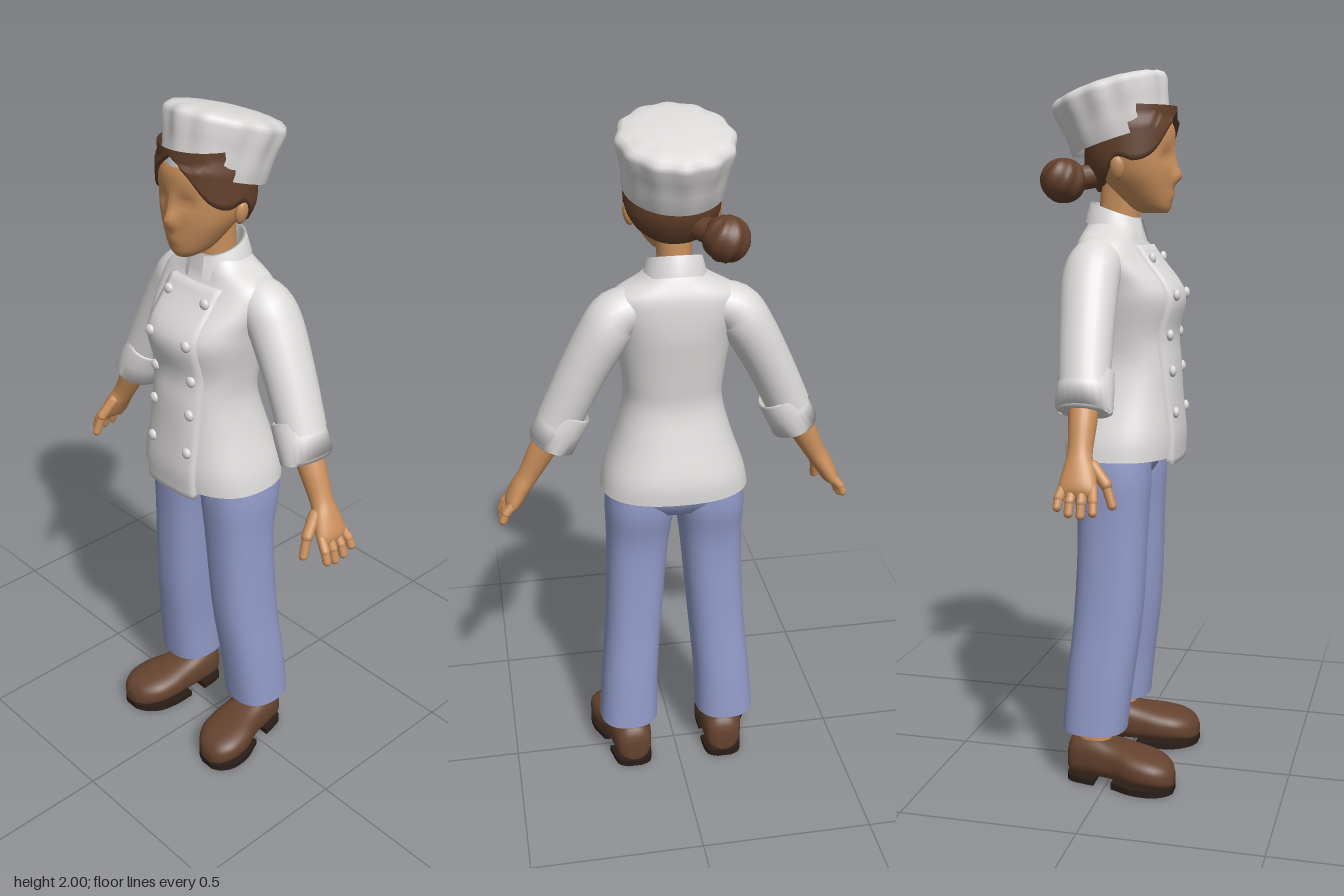
import * as THREE from 'three';
import { mergeVertices, mergeGeometries } from 'three/addons/utils/BufferGeometryUtils.js';

const mat = (name, color, side = THREE.FrontSide) => {
  const m = new THREE.MeshStandardMaterial({ color, side });
  m.name = name;
  return m;
};

// Surface from a point rule: u runs around, v runs along
function grid(nu, nv, point, closed = true) {
  const pos = [], idx = [];
  const w = closed ? nu : nu + 1;
  for (let j = 0; j <= nv; j++) for (let i = 0; i < w; i++) pos.push(...point(i, j));
  for (let j = 0; j < nv; j++) for (let i = 0; i < nu; i++) {
    const a = j * w + i, b = j * w + (i + 1) % w, c = a + w, d = b + w;
    idx.push(a, c, b, b, c, d);
  }
  const g = new THREE.BufferGeometry();
  g.setAttribute('position', new THREE.Float32BufferAttribute(pos, 3));
  g.setIndex(idx);
  const merged = mergeVertices(g, 1e-5);
  merged.computeVertexNormals();
  return merged;
}

// Smoothly subdivide rows of numbers
function refine(rows, n = 4) {
  const out = [], at = i => rows[Math.max(0, Math.min(rows.length - 1, i))];
  for (let i = 0; i < rows.length - 1; i++) for (let k = 0; k < n; k++) {
    const t = k / n;
    out.push(rows[i].map((b, c) => {
      const a = at(i - 1)[c], d = at(i + 1)[c], e = at(i + 2)[c];
      return b + 0.5 * t * (d - a + t * (2 * a - 5 * b + 4 * d - e + t * (3 * (b - d) + e - a)));
    }));
  }
  return [...out, rows[rows.length - 1]];
}

const sgnPow = (v, p) => Math.sign(v) * Math.abs(v) ** p;

// Upright loft; rows are [y, centreX, halfWidth, zFront, zBack]
function body(rows, { n = 2.2, seg = 36, cap = false, warp = null } = {}) {
  const r = refine(rows);
  if (cap) {
    const point = ([y, cx, , f, b]) => [y, cx, 0, (f + b) / 2, (f + b) / 2];
    r.unshift(point(r[0]));
    r.push(point(r[r.length - 1]));
  }
  return grid(seg, r.length - 1, (i, j) => {
    const [y, cx, rx, f, b] = r[j], a = i / seg * Math.PI * 2;
    const p = [cx + rx * sgnPow(Math.cos(a), 2 / n), y, (f + b) / 2 + (f - b) / 2 * sgnPow(Math.sin(a), 2 / n)];
    return warp ? warp(p) : p;
  });
}

// Loft along a path in the xy plane; rows are [x, y, z, halfThickness, halfDepth]
function limb(rows, smooth = 4, seg = 24) {
  const r = refine(rows, smooth);
  return grid(seg, r.length - 1, (i, j) => {
    const p = r[Math.max(0, j - 1)], q = r[Math.min(r.length - 1, j + 1)];
    const t = new THREE.Vector2(q[0] - p[0], q[1] - p[1]).normalize();
    const a = i / seg * Math.PI * 2, [x, y, z, h, d] = r[j];
    return [x + t.y * h * Math.cos(a), y - t.x * h * Math.cos(a), z + d * Math.sin(a)];
  });
}

// Rounded finger between two points
function finger(a, b, r) {
  const p = new THREE.Vector3(...a), q = new THREE.Vector3(...b), d = q.clone().sub(p);
  const g = new THREE.CapsuleGeometry(r, d.length(), 4, 10);
  g.applyQuaternion(new THREE.Quaternion().setFromUnitVectors(new THREE.Vector3(0, 1, 0), d.normalize()));
  return g.translate(...p.add(q).multiplyScalar(0.5).toArray());
}

function mirror(geo) {
  const g = geo.index ? geo.toNonIndexed() : geo.clone();
  for (const at of [g.attributes.position, g.attributes.normal]) for (let i = 0; i < at.count; i += 3) {
    const v = [0, 1, 2].map(k => new THREE.Vector3().fromBufferAttribute(at, i + k));
    [0, 2, 1].forEach((s, k) => at.setXYZ(i + k, -v[s].x, v[s].y, v[s].z));
  }
  return g;
}

export function createModel() {
  const cloth = mat('white cloth', 0xdcdad9, THREE.DoubleSide);
  const denim = mat('blue trousers', 0x929bc9, THREE.DoubleSide);
  const skin = mat('skin', 0xc98f5c);
  const hairMat = mat('brown hair', 0x63402b, THREE.DoubleSide);
  const leather = mat('brown leather', 0x65432f);
  const rubber = mat('dark sole', 0x2a1d18);

  const model = new THREE.Group();
  model.name = 'cook';
  const add = (name, geo, material) => {
    const m = new THREE.Mesh(geo, material);
    m.name = name;
    model.add(m);
    return m;
  };
  const pair = (name, geo, material) => {
    add('left' + name, geo, material);
    add('right' + name, mirror(geo), material);
  };

  // Jacket body
  const torso = [
    [0.94, 0, 0.212, 0.165, -0.155], [1.0, 0, 0.2, 0.168, -0.153], [1.1, 0, 0.165, 0.16, -0.125],
    [1.2, 0, 0.14, 0.155, -0.1], [1.28, 0, 0.143, 0.148, -0.105], [1.37, 0, 0.158, 0.166, -0.115],
    [1.42, 0, 0.165, 0.15, -0.12], [1.48, 0, 0.178, 0.1, -0.12], [1.53, 0, 0.17, 0.065, -0.115],
    [1.57, 0, 0.1, 0.055, -0.1], [1.6, 0, 0.07, 0.05, -0.085]];
  add('jacket', body(torso, { n: 2.4, seg: 48 }), cloth);

  const fine = refine(torso);
  const frontZ = (x, y) => {
    let k = fine.findIndex(r => r[0] > y);
    k = k < 0 ? fine.length - 1 : Math.max(1, k);
    const p = fine[k - 1], q = fine[k], t = Math.max(0, (y - p[0]) / (q[0] - p[0]));
    const [, , rx, f, b] = p.map((v, i) => v + (q[i] - v) * t);
    return (f + b) / 2 + (f - b) / 2 * (1 - Math.abs(x / rx) ** 2.4) ** (1 / 2.4);
  };

  // Raised double-breasted panel following the jacket front
  const nx = 14, ny = 40;
  add('frontPanel', grid(nx, ny, (i, j) => {
    const u = (Math.min(nx - 1, Math.max(1, i)) - 1) / (nx - 2), v = (Math.min(ny - 1, Math.max(1, j)) - 1) / (ny - 2);
    const x = 0.095 - 0.19 * u, y = 0.922 + 0.603 * v;
    const rim = i === 0 || j === 0 || i === nx || j === ny;
    return [x, y, frontZ(x, y) + (rim ? -0.005 : 0.012)];
  }, false), cloth);

  // Two columns of buttons
  for (const y of [1.49, 1.39, 1.28, 1.18, 1.065]) for (const x of [-0.068, 0.073]) {
    const b = add('button', new THREE.SphereGeometry(0.016, 14, 10), cloth);
    b.scale.z = 0.65;
    b.position.set(x, y, frontZ(x, y) + 0.014);
  }

  // Standing collar, open at the throat
  const collar = [[0.09, 1.555], [0.074, 1.615], [0.064, 1.615], [0.07, 1.55]];
  add('collar', grid(32, 3, (i, j) => {
    const a = Math.PI / 2 + 0.3 + (Math.PI * 2 - 0.6) * i / 32, [r, y] = collar[j];
    const z = -0.015 + r * Math.sin(a);
    return [r * Math.cos(a), y - 0.35 * z, z];
  }, false), cloth);

  // Sleeves with turned-back cuffs
  pair('Sleeve', limb([
    [0.09, 1.5, -0.035, 0.055, 0.06], [0.16, 1.475, -0.037, 0.068, 0.075], [0.2, 1.42, -0.04, 0.07, 0.079],
    [0.265, 1.3, -0.032, 0.065, 0.074], [0.325, 1.17, -0.022, 0.062, 0.07]]), cloth);
  pair('Cuff', limb([
    [0.295, 1.205, -0.022, 0.06, 0.068], [0.298, 1.2, -0.022, 0.066, 0.075], [0.322, 1.155, -0.019, 0.067, 0.077],
    [0.348, 1.105, -0.017, 0.068, 0.078], [0.351, 1.099, -0.017, 0.062, 0.072],
    [0.345, 1.112, -0.017, 0.055, 0.064], [0.325, 1.15, -0.019, 0.045, 0.05]], 1), cloth);

  // Forearm, palm and fingers
  const hand = [limb([
    [0.33, 1.16, -0.018, 0.04, 0.042], [0.375, 1.08, -0.012, 0.038, 0.038], [0.415, 1.005, -0.008, 0.03, 0.033],
    [0.44, 0.965, -0.003, 0.028, 0.043], [0.465, 0.92, -0.001, 0.024, 0.052], [0.473, 0.902, 0, 0.012, 0.046]])];
  hand.push(finger([0.428, 0.975, 0.03], [0.44, 0.93, 0.067], 0.016), finger([0.44, 0.93, 0.067], [0.446, 0.878, 0.085], 0.0125));
  [[0.043, 0.868], [0.014, 0.859], [-0.015, 0.863], [-0.042, 0.878]].forEach(([z, y]) =>
    hand.push(finger([0.466, 0.922, z * 0.9], [0.487, (y + 0.922) / 2, z * 1.05], 0.0135),
      finger([0.487, (y + 0.922) / 2, z * 1.05], [0.497, y, z * 1.1], 0.012)));
  pair('Hand', mergeGeometries(hand.map(g => {
    const f = g.toNonIndexed();
    f.deleteAttribute('uv');
    return f;
  })), skin);

  // Trousers
  add('trouserHips', body([[0.88, 0, 0.13, 0.085, -0.1], [0.92, 0, 0.19, 0.107, -0.125], [0.97, 0, 0.192, 0.11, -0.13],
    [1.04, 0, 0.165, 0.11, -0.11]], { n: 2.5, cap: true }), denim);
  pair('TrouserLeg', body([
    [0.158, 0.15, 0.088, 0.05, -0.133], [0.3, 0.143, 0.085, 0.066, -0.123], [0.5, 0.126, 0.084, 0.09, -0.105],
    [0.75, 0.11, 0.09, 0.1, -0.098], [0.88, 0.102, 0.1, 0.106, -0.12], [0.96, 0.098, 0.097, 0.1, -0.12]],
  { n: 2.4 }), denim);

  // Ankles
  pair('Ankle', body([[0.07, 0.15, 0.045, 0.03, -0.1], [0.13, 0.15, 0.04, 0.005, -0.093], [0.3, 0.15, 0.045, 0.01, -0.09]], { cap: true }), skin);

  // Clogs: lofted along z, then laid down; rows are [z, centreX, halfWidth, -bottom, -top]
  const shoe = [
    [-0.122, 0.142, 0.022, -0.025, -0.09], [-0.105, 0.142, 0.05, -0.013, -0.13], [-0.05, 0.145, 0.062, -0.013, -0.14],
    [0.02, 0.153, 0.067, -0.013, -0.122], [0.08, 0.166, 0.08, -0.013, -0.11], [0.14, 0.174, 0.076, -0.013, -0.098],
    [0.18, 0.18, 0.051, -0.013, -0.08], [0.197, 0.184, 0.022, -0.02, -0.055]];
  pair('Shoe', body(shoe, { n: 2.6, cap: true }).rotateX(Math.PI / 2), leather);

  // Soles: forefoot and heel treads
  const tread = (from, to) => {
    const r = refine(shoe).filter(([z]) => z >= from && z <= to);
    const outline = [...r.map(([z, c, w]) => new THREE.Vector2(c + w, z)), ...r.reverse().map(([z, c, w]) => new THREE.Vector2(c - w, z))];
    const g = new THREE.ExtrudeGeometry(new THREE.Shape(outline), { depth: 0.018, bevelEnabled: false });
    return g.rotateX(Math.PI / 2).translate(0, 0.018, 0);
  };
  pair('FrontSole', tread(0.01, 0.2), rubber);
  pair('HeelSole', tread(-0.13, -0.03), rubber);

  // Neck and head; the face is shaped by soft bumps
  add('neck', body([[1.5, 0, 0.06, 0.045, -0.07], [1.58, 0, 0.047, 0.045, -0.065], [1.72, 0, 0.048, 0.06, -0.06]]), skin);
  const bump = (x, y, cx, cy, sx, sy) => Math.exp(-(((x - cx) / sx) ** 2) - ((y - cy) / sy) ** 2);
  add('head', body([
    [1.612, 0, 0.028, 0.128, 0.06], [1.63, 0, 0.052, 0.138, 0.02], [1.67, 0, 0.08, 0.143, -0.02],
    [1.72, 0, 0.106, 0.145, -0.06], [1.78, 0, 0.116, 0.146, -0.08], [1.84, 0, 0.115, 0.145, -0.09],
    [1.885, 0, 0.1, 0.12, -0.08]], {
    seg: 72, cap: true, warp: ([x, y, z]) => {
      if (z > 0.06) {
        z += 0.024 * bump(x, y, 0, 1.713, 0.017, 0.022) + 0.009 * bump(x, y, 0, 1.75, 0.014, 0.03)
          + 0.005 * bump(x, y, 0, 1.662, 0.025, 0.012);
        for (const s of [-1, 1]) z -= 0.01 * bump(x, y, s * 0.045, 1.765, 0.025, 0.018);
      }
      return [x, y, z];
    } }), skin);
  pair('Ear', new THREE.SphereGeometry(1, 14, 10).scale(0.013, 0.032, 0.02).rotateZ(-0.2).translate(0.119, 1.733, 0.015), skin);

  // Hair shell: centre parting, swept over the ears, gathered at the nape
  const hairline = refine([[0, 1.885], [25, 1.845], [50, 1.775], [72, 1.752], [95, 1.762], [118, 1.705], [150, 1.675], [181, 1.67]], 6);
  add('hair', grid(72, 10, (i, j) => {
    const a = i / 72 * Math.PI * 2, deg = Math.abs(((i / 72 * 360 - 90 + 540) % 360) - 180);
    const k = Math.max(1, hairline.findIndex(r => r[0] >= deg)), [d0, y0] = hairline[k - 1], [d1, y1] = hairline[k];
    const low = y0 + (y1 - y0) * (deg - d0) / (d1 - d0), v = Math.max(0, j - 1) / 9;
    const y = low + (1.9 - low) * v;
    const s = (j === 0 ? 0.88 : 1) * (1 - 0.3 * Math.max(0, (1.75 - y) / 0.08) ** 1.5) * (y > 1.86 ? 0.95 : 1);
    return [0.13 * s * Math.cos(a), y, 0.022 + (Math.sin(a) > 0 ? 0.138 : 0.127) * s * Math.sin(a)];
  }), hairMat);

  // Lobed bun
  add('bun', grid(40, 16, (i, j) => {
    const a = i / 40 * Math.PI * 2, b = (j / 16 - 0.5) * Math.PI;
    const r = 0.061 * (1 + 0.05 * Math.cos(7 * a + 3 * b) * Math.cos(b)), c = Math.abs(Math.cos(b)) < 1e-6 ? 0 : Math.cos(b);
    return [-0.113 + r * c * Math.cos(a), 1.7 + r * Math.sin(b), -0.138 + r * c * Math.sin(a)];
  }), hairMat);
  add('bunTie', finger([-0.05, 1.715, -0.06], [-0.09, 1.705, -0.11], 0.034), hairMat);

  // Fluted cap, tipped back
  const cap = [[0.02, 0.125], [0, 0.138], [0, 0.147], [0.05, 0.15], [0.09, 0.157], [0.128, 0.166], [0.143, 0.162],
    [0.153, 0.148], [0.162, 0.11], [0.168, 0.05], [0.169, 0]];
  const hat = add('hat', grid(96, cap.length - 1, (i, j) => {
    const a = i / 96 * Math.PI * 2, [y, r0] = cap[j];
    const r = r0 * (1 + 0.025 * Math.cos(12 * a) * Math.min(1, Math.max(0, y - 0.02) / 0.08));
    return [r * 0.93 * Math.cos(a), y, r * Math.sin(a)];
  }), cloth);
  hat.position.set(0, 1.808, 0);
  hat.rotation.x = -0.29;

  return model;
}
